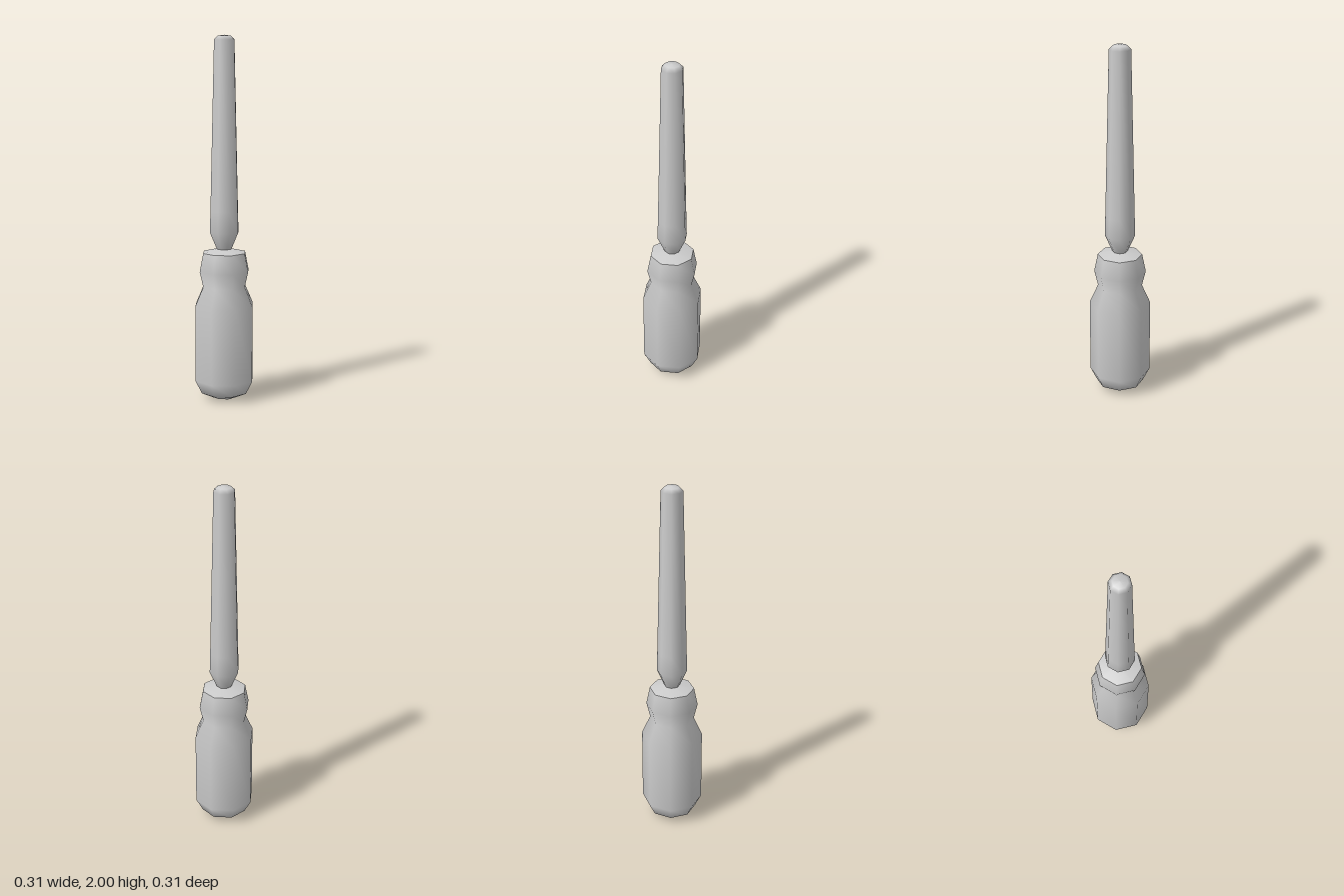
import * as THREE from 'three';

const SIDES = 8;
const material = new THREE.MeshStandardMaterial({ color: 0xcccccc });

// Eight-sided turned part; each profile point is [distance to flat side, height]
function turned(name, profile) {
  const points = profile.map(([r, y]) => new THREE.Vector2(r / Math.cos(Math.PI / SIDES), y));
  const mesh = new THREE.Mesh(new THREE.LatheGeometry(points, SIDES, Math.PI / SIDES), material);
  mesh.name = name;
  return mesh;
}

export function createModel() {
  const group = new THREE.Group();
  group.name = 'handTool';

  // Grip with rounded butt, narrow neck and bulging collar
  group.add(turned('handle', [
    [0, 0], [0.06, 0.007], [0.122, 0.037], [0.156, 0.11],
    [0.156, 0.53], [0.113, 0.635], [0.132, 0.72], [0.113, 0.822],
  ]));

  // Shallow cap closing the collar, with a sharp rim
  group.add(turned('handleCap', [[0.113, 0.822], [0.035, 0.842], [0, 0.842]]));

  // Long tapering shaft with a pinched root and rounded tip
  group.add(turned('shaft', [
    [0.036, 0.835], [0.045, 0.855], [0.077, 0.935], [0.074, 1.05],
    [0.054, 1.975], [0.036, 1.995], [0, 2],
  ]));

  return group;
}
